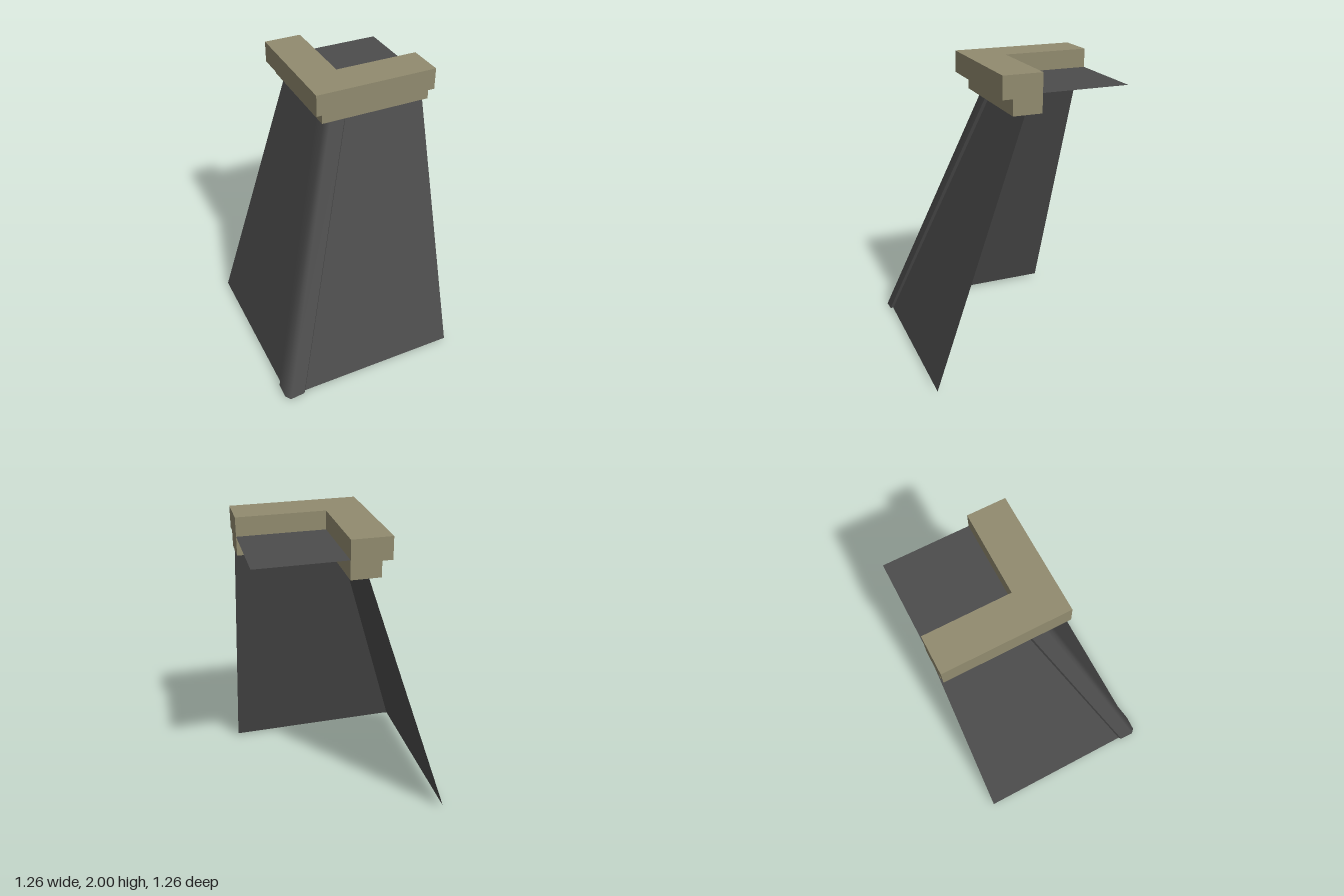
import * as THREE from 'three';

const HALF = 0.63;       // outer extent of the open ends
const FOOT = 0.612;      // wall distance from the centre at the base
const BASE = 0.015;      // height of the wall base
const TOP = 1.8;         // walls end hidden inside the trim
const LEAN = 0.3276;     // inward lean per unit of height

export function createModel() {
  const slate = new THREE.MeshStandardMaterial({ color: 0x4c4c4c, side: THREE.DoubleSide });
  slate.name = 'dark slate';
  const stone = new THREE.MeshStandardMaterial({ color: 0x918b6f });
  stone.name = 'tan stone';

  const group = new THREE.Group();
  const add = (name, geometry, material) => {
    const mesh = new THREE.Mesh(geometry, material);
    mesh.name = name;
    group.add(mesh);
  };

  // Surface from lower and upper rows of points, smooth along the row
  const strip = (lower, upper) => {
    const n = lower.length, index = [];
    for (let i = 0; i < n - 1; i++) index.push(i, i + 1, n + i + 1, i, n + i + 1, n + i);
    const g = new THREE.BufferGeometry();
    g.setAttribute('position', new THREE.Float32BufferAttribute([...lower, ...upper].flat(), 3));
    g.setIndex(index);
    g.computeVertexNormals();
    return g;
  };

  // Two leaning walls that meet in a mitred corner
  const t = FOOT - LEAN * (TOP - BASE);
  add('frontWall', strip(
    [[-FOOT, BASE, FOOT], [HALF, BASE, FOOT]],
    [[-t, TOP, t], [HALF, TOP, t]]), slate);
  add('sideWall', strip(
    [[-FOOT, BASE, -HALF], [-FOOT, BASE, FOOT]],
    [[-t, TOP, -HALF], [-t, TOP, t]]), slate);

  // Hip capping: raised rounded strip with thin lips that follows the corner
  const outline = [
    [-0.612, 0.02, 0.485], [-0.63, 0.02, 0.5], [-0.63, 0.012, 0.6],
    [-0.6, 0.0, 0.63], [-0.5, 0.012, 0.63], [-0.485, 0.02, 0.612],
  ];
  const raise = ([x, , z]) => {
    const s = LEAN * (TOP - BASE);
    return [x + s, TOP, z - s];
  };
  const hip = (name, from, to) => {
    const row = outline.slice(from, to);
    add(name, strip(row, row.map(raise)), slate);
  };
  hip('hipSideLip', 0, 2);
  hip('hipCap', 1, 5);
  hip('hipFrontLip', 4, 6);

  // Closed foot of the hip, rising inwards to the wall corner
  const foot = [];
  for (let i = 0; i < outline.length - 1; i++) {
    foot.push(...outline[i + 1], ...outline[i], -0.597, 0.06, 0.597);
  }
  const footGeometry = new THREE.BufferGeometry();
  footGeometry.setAttribute('position', new THREE.Float32BufferAttribute(foot, 3));
  footGeometry.computeVertexNormals();
  add('hipFoot', footGeometry, slate);

  // Stepped L-shaped trim around the top
  const trim = (name, outer, y, height) => {
    const shape = new THREE.Shape([
      [-outer, -outer], [HALF, -outer], [HALF, 0.07],
      [0.07, 0.07], [0.07, HALF], [-outer, HALF],
    ].map(([x, v]) => new THREE.Vector2(x, v)));
    const g = new THREE.ExtrudeGeometry(shape, { depth: height, bevelEnabled: false });
    g.rotateX(-Math.PI / 2).translate(0, y, 0);
    add(name, g, stone);
  };
  trim('lowerTrim', 0.115, 1.76, 0.1);
  trim('upperTrim', 0.18, 1.86, 0.14);

  // Flat roof sheet inside the trim
  const size = HALF - 0.07;
  const roof = new THREE.PlaneGeometry(size, size);
  roof.rotateX(-Math.PI / 2).translate(0.07 + size / 2, 1.88, -0.07 - size / 2);
  add('flatRoof', roof, slate);

  return group;
}
